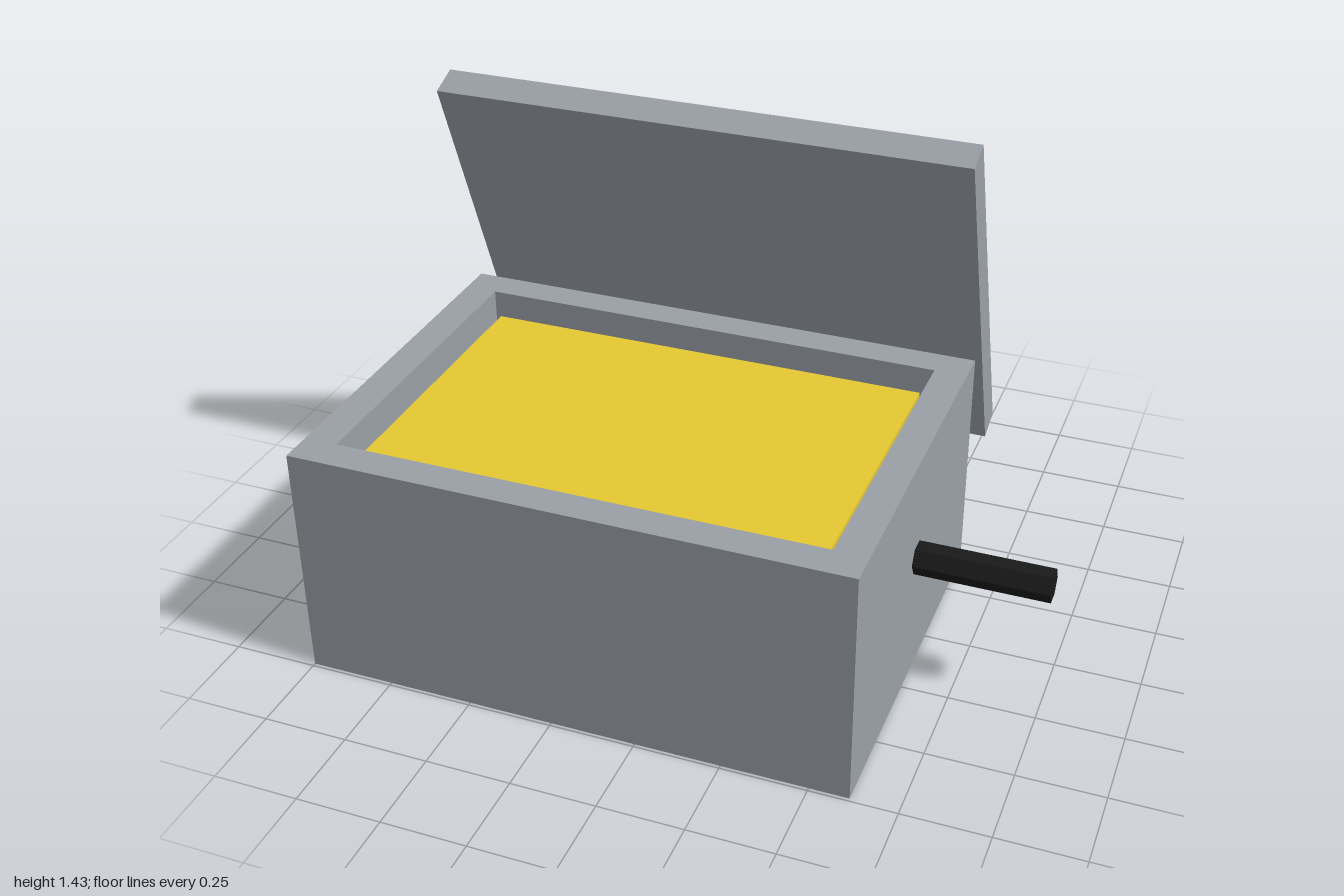
import * as THREE from 'three';

const CENTRE_X = -0.193, CENTRE_Z = 0.161; // middle of the case
const WIDTH = 1.614, DEPTH = 1.158, HEIGHT = 0.71, WALL = 0.097;

// Skin a series of rectangular rings [halfX, halfZ, y] with flat faces.
function ringSolid(rings) {
  const signs = [[1, 1], [1, -1], [-1, -1], [-1, 1]];
  const positions = [];
  const corner = ([hx, hz, y], k) => [signs[k % 4][0] * hx, y, signs[k % 4][1] * hz];
  for (let i = 0; i < rings.length - 1; i++) {
    const low = rings[i], high = rings[i + 1];
    for (let k = 0; k < 4; k++) {
      const a = corner(low, k), b = corner(low, k + 1);
      const c = corner(high, k + 1), d = corner(high, k);
      if (low[0] > 0) positions.push(...a, ...b, ...d);
      if (high[0] > 0) positions.push(...b, ...c, ...d);
    }
  }
  const geometry = new THREE.BufferGeometry();
  geometry.setAttribute('position', new THREE.Float32BufferAttribute(positions, 3));
  geometry.computeVertexNormals();
  return geometry;
}

export function createModel() {
  const model = new THREE.Group();
  model.name = 'openBox';

  const material = (name, color) => {
    const m = new THREE.MeshStandardMaterial({ color });
    m.name = name;
    return m;
  };
  const grey = material('greyMetal', 0x9aa0a6);
  const gold = material('goldFill', 0xe6c832);
  const black = material('blackHandle', 0x1a1a1a);

  const add = (name, geometry, mat, x, y, z) => {
    const mesh = new THREE.Mesh(geometry, mat);
    mesh.name = name;
    mesh.position.set(x, y, z);
    model.add(mesh);
    return mesh;
  };

  // Hollow case: underside, outer walls, rim, inner walls, floor
  const hx = WIDTH / 2, hz = DEPTH / 2;
  const shell = ringSolid([
    [0, 0, 0],
    [hx, hz, 0],
    [hx, hz, HEIGHT],
    [hx - WALL, hz - WALL, HEIGHT],
    [hx - WALL, hz - WALL, 0.1],
    [0, 0, 0.1],
  ]);
  add('case', shell, grey, CENTRE_X, 0, CENTRE_Z);

  // Block filling the case, with a narrow gap to the walls
  const fillHeight = 0.545;
  add('fill', new THREE.BoxGeometry(1.356, fillHeight, 0.9), gold,
    CENTRE_X, 0.1 + fillHeight / 2, CENTRE_Z);

  // Open lid, leaning back behind the case
  const lid = add('lid', new THREE.BoxGeometry(WIDTH, 1.162, 0.096), grey,
    CENTRE_X, 0.873, -0.485);
  lid.rotation.x = 0.37;

  // Six-sided crank handle on the left side
  const handle = new THREE.CylinderGeometry(0.048, 0.048, 0.39, 6).toNonIndexed();
  handle.computeVertexNormals();
  handle.rotateZ(-Math.PI / 2);
  add('handle', handle, black, 0.805, 0.39, 0.16);

  return model;
}
